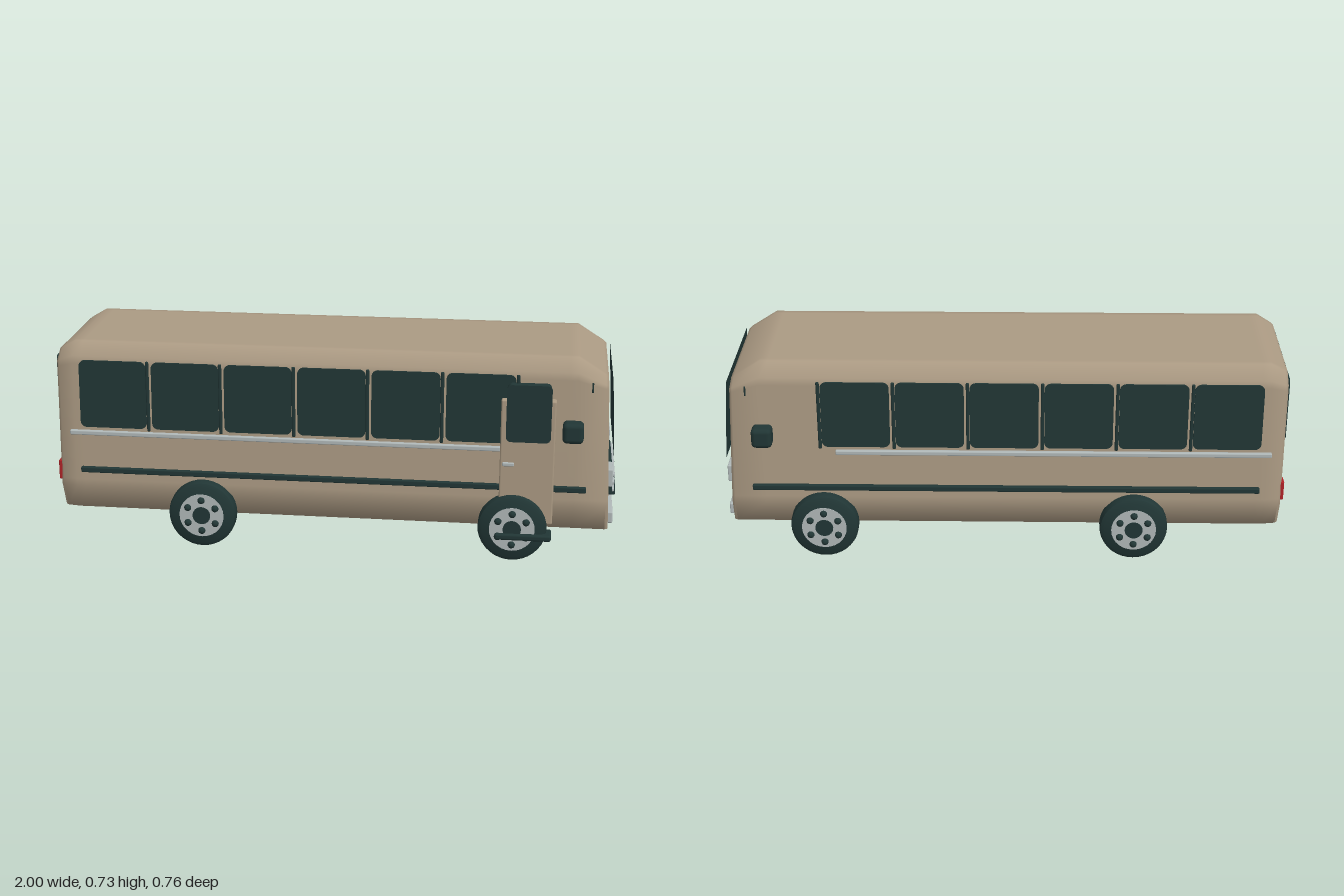
import * as THREE from 'three';
import { toCreasedNormals } from 'three/addons/utils/BufferGeometryUtils.js';
import { RoundedBoxGeometry } from 'three/addons/geometries/RoundedBoxGeometry.js';

const mat = (name, color) => Object.assign(new THREE.MeshStandardMaterial({ color }), { name });

export function createModel() {
  const root = new THREE.Group();
  root.name = 'bus';
  const tan = mat('tan paint', 0xab9a83);
  const dark = mat('dark glass and trim', 0x213635);
  const silver = mat('silver trim', 0xb0b8b8);
  const red = mat('red lamp', 0xb02226);
  const glass = mat('windshield glass', 0x213635);
  glass.side = THREE.DoubleSide;

  const add = (name, geo, material, x = 0, y = 0, z = 0, parent = root) => {
    const m = new THREE.Mesh(geo, material);
    m.name = name;
    m.position.set(x, y, z);
    parent.add(m);
    return m;
  };
  // rounded box given by its limits
  const box = (name, material, [x0, x1], [y0, y1], [z0, z1], r = 0.004) =>
    add(name, new RoundedBoxGeometry(x1 - x0, y1 - y0, z1 - z0, 2, r), material,
      (x0 + x1) / 2, (y0 + y1) / 2, (z0 + z1) / 2);
  // flat panel with rounded corners, centred, facing +z
  const panel = (w, h, d, r) => {
    const s = new THREE.Shape(), a = w / 2 - r, b = h / 2 - r;
    s.absarc(a, b, r, 0, Math.PI / 2);
    s.absarc(-a, b, r, Math.PI / 2, Math.PI);
    s.absarc(-a, -b, r, Math.PI, Math.PI * 1.5);
    s.absarc(a, -b, r, Math.PI * 1.5, Math.PI * 2);
    return new THREE.ExtrudeGeometry(s, { depth: d, bevelEnabled: false, curveSegments: 4 }).translate(0, 0, -d / 2);
  };

  // body shell: one cross-section lofted along x
  const half = [[0.22, 0.105], [0.25, 0.105], [0.29, 0.2], [0.289, 0.225], [0.276, 0.655],
    [0.274, 0.682], [0.226, 0.726], [0.205, 0.726]];
  const ring = [...half, ...half.map(([z, y]) => [-z, y]).reverse()];
  // x, roof height, inset of the sides, forward lean at the bottom
  const sections = [[-0.99, 0.69, 0.018, 0], [-0.98, 0.697, 0.008, 0], [-0.93, 0.726, 0, 0], [-0.9, 0.726, 0, 0],
    [0.82, 0.726, 0, 0], [0.848, 0.726, 0, 0], [0.942, 0.666, 0, 0.02], [0.952, 0.658, 0.008, 0.021]];
  const pos = [], idx = [], n = ring.length;
  for (const [x, top, inset, lean] of sections) {
    for (const [z, y] of ring) {
      const yy = y > 0.6 ? 0.6 + (y - 0.6) * (top - 0.6) / 0.126 : y;
      pos.push(x + lean * (0.66 - yy) / 0.555, yy, z - Math.sign(z) * inset);
    }
  }
  for (let s = 0; s < sections.length - 1; s++) {
    for (let i = 0; i < n; i++) {
      const j = (i + 1) % n, a = s * n + i, d = s * n + j;
      idx.push(a, a + n, d + n, a, d + n, d);
    }
  }
  const last = (sections.length - 1) * n, c = pos.length / 3;
  pos.push(-0.99, 0.4, 0, 0.962, 0.4, 0);
  for (let i = 0; i < n; i++) {
    const j = (i + 1) % n;
    idx.push(c, i, j, c + 1, last + j, last + i);
  }
  const shell = new THREE.BufferGeometry();
  shell.setAttribute('position', new THREE.Float32BufferAttribute(pos, 3));
  shell.setIndex(idx);
  add('body', toCreasedNormals(shell, 1.22), tan);

  // wheel profile, spun about its axle
  const tyre = toCreasedNormals(new THREE.LatheGeometry([[0, -0.034], [0.105, -0.034], [0.118, -0.026], [0.121, -0.015],
    [0.121, 0.015], [0.118, 0.026], [0.105, 0.034], [0, 0.034]].map(p => new THREE.Vector2(...p)), 36).rotateX(Math.PI / 2), 0.7);
  const disc = (r, d) => new THREE.CylinderGeometry(r, r, d, 28).rotateX(Math.PI / 2);

  for (const s of [1, -1]) {
    const side = s > 0 ? 'left' : 'right';

    // side windows and the pillars between them
    for (let i = 0; i < 6; i++) {
      const w = add(side + 'Window', panel(0.24, 0.245, 0.009, 0.022), dark, -0.786 + 0.2605 * i, 0.546, s * 0.281);
      w.rotation.x = -s * 0.03;
      const x = -0.659 + 0.2605 * i;
      box(side + 'Pillar', dark, [x - 0.006, x + 0.006], [0.415, 0.672], [s * 0.284 - 0.005, s * 0.284 + 0.005]);
    }

    // long trim strips
    box(side + 'Rail', silver, [-0.945, 0.59], [0.395, 0.412], [s * 0.29 - 0.008, s * 0.29 + 0.008]);
    box(side + 'Stripe', dark, [-0.91, 0.89], [0.255, 0.275], [s * 0.294 - 0.009, s * 0.294 + 0.009]);
    box(side + 'Marker', dark, [0.895, 0.901], [0.615, 0.65], [s * 0.272 - 0.008, s * 0.272 + 0.008], 0.002);

    // mirrors
    box(side + 'Mirror', dark, [0.8, 0.872], [0.458, 0.53], [s * 0.348 - 0.031, s * 0.348 + 0.031], 0.016);

    // wheels with rim, hub and bolts
    for (const [name, x] of [['rear', -0.467], ['front', 0.638]]) {
      const wheel = new THREE.Group();
      wheel.name = name + side + 'Wheel';
      wheel.position.set(x, 0.121, s * 0.297);
      if (s < 0) wheel.rotation.y = Math.PI;
      add('tyre', tyre, dark, 0, 0, 0, wheel);
      add('rim', disc(0.08, 0.006), silver, 0, 0, 0.033, wheel);
      add('hub', disc(0.032, 0.01), dark, 0, 0, 0.034, wheel);
      for (let k = 0; k < 6; k++) {
        const a = Math.PI / 6 + k * Math.PI / 3;
        add('bolt', new THREE.SphereGeometry(0.013, 12, 8), dark, 0.057 * Math.cos(a), 0.057 * Math.sin(a), 0.036, wheel);
      }
      root.add(wheel);
    }

    // headlights and tail lamps
    box(side + 'Headlight', silver, [0.95, 0.981], [0.271, 0.335], [s * 0.224 - 0.044, s * 0.224 + 0.044]);
    box(side + 'TailLamp', red, [-1, -0.975], [0.215, 0.287], [s * 0.25 - 0.022, s * 0.25 + 0.022]);
  }

  // entrance door with window, handle and step
  box('door', tan, [0.588, 0.777], [0.135, 0.588], [0.27, 0.309], 0.006);
  add('doorWindow', panel(0.155, 0.206, 0.008, 0.018), dark, 0.684, 0.54, 0.308);
  add('doorWindowTop', panel(0.15, 0.07, 0.03, 0.016), dark, 0.684, 0.608, 0.295);
  box('doorHandle', silver, [0.597, 0.638], [0.348, 0.362], [0.3, 0.316]);
  box('doorStep', dark, [0.578, 0.775], [0.084, 0.107], [0.273, 0.347], 0.008);

  // sloping windshield
  const ws = new THREE.Shape([[-0.262, 0], [0.262, 0], [0.246, 0.288], [-0.246, 0.288]].map(p => new THREE.Vector2(...p)));
  const windshield = add('windshield', new THREE.ShapeGeometry(ws), glass, 0.983, 0.363, 0);
  windshield.rotation.set(-0.055, Math.PI / 2, 0, 'YXZ');

  // rear window
  const rear = add('rearWindow', panel(0.47, 0.23, 0.009, 0.012), dark, -0.993, 0.555, 0);
  rear.rotation.y = -Math.PI / 2;

  // grille, number plate and bumper
  box('grille', dark, [0.95, 0.984], [0.209, 0.295], [-0.18, 0.18], 0.006);
  for (const y of [0.225, 0.252, 0.28]) box('grilleBar', silver, [0.975, 0.992], [y - 0.007, y + 0.007], [-0.172, 0.172], 0.005);
  box('plate', dark, [0.955, 1], [0.165, 0.205], [-0.062, 0.062]);
  box('bumper', silver, [0.95, 0.988], [0.128, 0.17], [-0.248, 0.248], 0.005);

  return root;
}
